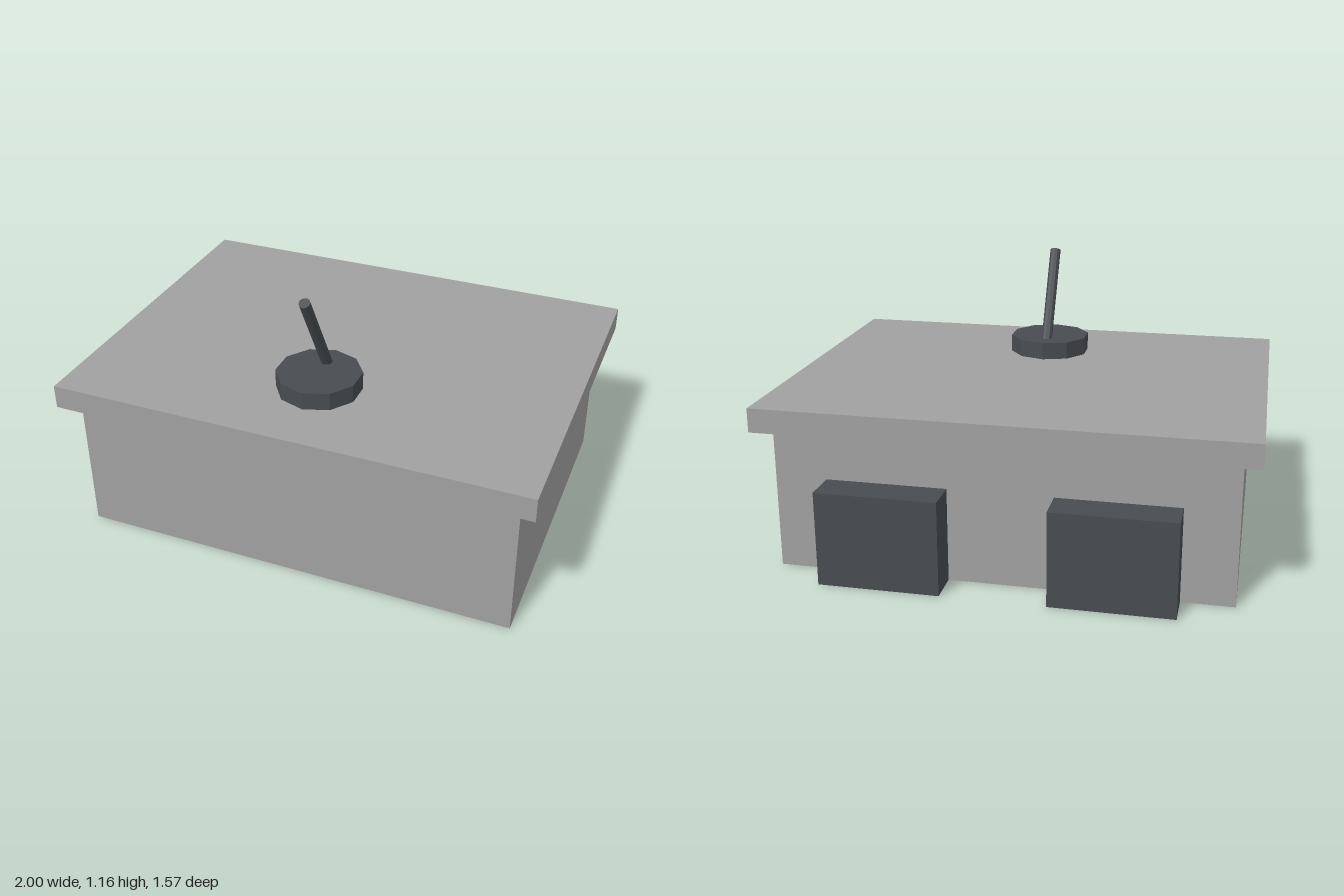
import * as THREE from 'three';

export function createModel() {
  const model = new THREE.Group();
  model.name = 'controlBox';

  const grey = new THREE.MeshStandardMaterial({ color: 0xa0a0a1 });
  grey.name = 'casing grey';
  const dark = new THREE.MeshStandardMaterial({ color: 0x484c50 });
  dark.name = 'dark slate';
  // faceted look for the low-sided cylinders
  dark.flatShading = true;

  const add = (name, geometry, material, x, y, z) => {
    const mesh = new THREE.Mesh(geometry, material);
    mesh.name = name;
    mesh.position.set(x, y, z);
    model.add(mesh);
    return mesh;
  };

  // Casing and overhanging lid
  add('body', new THREE.BoxGeometry(1.86, 0.6, 1.355), grey, 0, 0.3, 0.0375);
  add('lid', new THREE.BoxGeometry(2, 0.1, 1.5), grey, 0, 0.65, 0.035);

  // Two blocks on the back
  for (const [name, side] of [['leftBackBlock', 1], ['rightBackBlock', -1]]) {
    add(name, new THREE.BoxGeometry(0.5, 0.395, 0.145), dark, side * 0.465, 0.1975, -0.7125);
  }

  // Ten-sided lever base
  add('leverBase', new THREE.CylinderGeometry(0.177, 0.177, 0.075, 10), dark, 0, 0.7375, 0.39);

  // Lever leaning forward, its foot sunk into the base
  const foot = new THREE.Vector3(0, 0.74, 0.292);
  const tip = new THREE.Vector3(0, 1.145, 0.515);
  const lever = add('lever', new THREE.CylinderGeometry(0.0235, 0.0235, foot.distanceTo(tip), 10), dark, 0, 0, 0);
  lever.position.lerpVectors(foot, tip, 0.5);
  lever.rotation.x = Math.atan2(tip.z - foot.z, tip.y - foot.y);

  return model;
}
